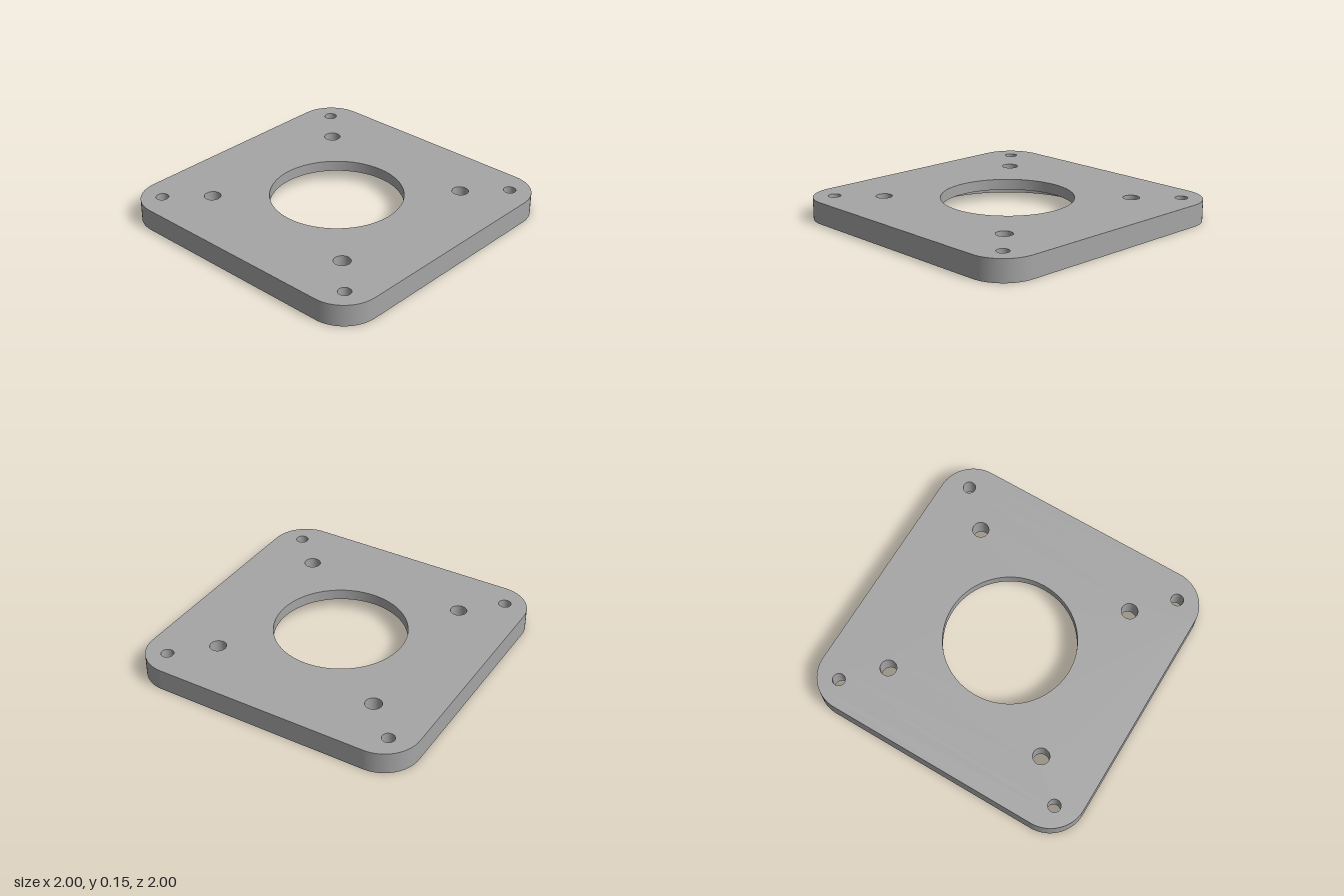
import * as THREE from 'three';

const HALF = 1, CORNER = 0.25, HEIGHT = 0.15, STEP = 0.075;
const BORE = 0.452, RECESS = 0.65;
const SEGMENTS = 64;
const HOLES = [
  { name: 'mountingHole', offset: 0.588, radius: 0.056 },
  { name: 'cornerHole', offset: 0.825, radius: 0.043 },
];
const SIGNS = [[1, 1], [-1, 1], [-1, -1], [1, -1]];

// Rounded square outline: each point with its outward direction
function outline() {
  const loop = [], n = 16, c = HALF - CORNER;
  SIGNS.forEach(([sx, sz], q) => {
    for (let i = 0; i <= n; i++) {
      const a = (q + i / n) * Math.PI / 2, nx = Math.cos(a), nz = Math.sin(a);
      loop.push({ x: sx * c + CORNER * nx, z: sz * c + CORNER * nz, nx, nz });
    }
  });
  return loop;
}

// Flat plate face with a central opening and all the screw holes
function faceGeometry(loop, opening) {
  const shape = new THREE.Shape(loop.map(p => new THREE.Vector2(p.x, p.z)));
  const punch = (x, y, r) => shape.holes.push(new THREE.Path().absarc(x, y, r, 0, Math.PI * 2, true));
  punch(0, 0, opening);
  for (const h of HOLES) {
    for (const [sx, sy] of SIGNS) punch(sx * h.offset, sy * h.offset, h.radius);
  }
  return new THREE.ShapeGeometry(shape, SEGMENTS / 2);
}

// Smooth outer wall between the two faces
function rimGeometry(loop) {
  const position = [], normal = [], index = [];
  loop.forEach((p, i) => {
    position.push(p.x, 0, p.z, p.x, HEIGHT, p.z);
    normal.push(p.nx, 0, p.nz, p.nx, 0, p.nz);
    const a = 2 * i, b = 2 * ((i + 1) % loop.length);
    index.push(a, a + 1, b, b, a + 1, b + 1);
  });
  const g = new THREE.BufferGeometry();
  g.setAttribute('position', new THREE.Float32BufferAttribute(position, 3));
  g.setAttribute('normal', new THREE.Float32BufferAttribute(normal, 3));
  g.setIndex(index);
  return g;
}

export function createModel() {
  const group = new THREE.Group();
  group.name = 'mountingPlate';
  const material = new THREE.MeshStandardMaterial({ color: 0xa5a5a5 });
  const add = (name, geometry, x = 0, y = 0, z = 0) => {
    const mesh = new THREE.Mesh(geometry, material);
    mesh.name = name;
    mesh.position.set(x, y, z);
    group.add(mesh);
  };
  // Surface swept around y; a downward profile faces the axis
  const ring = (r0, y0, r1, y1) => new THREE.LatheGeometry(
    [new THREE.Vector2(r0, y0), new THREE.Vector2(r1, y1)], SEGMENTS);

  // Plate
  const loop = outline();
  add('topFace', faceGeometry(loop, BORE).rotateX(-Math.PI / 2), 0, HEIGHT);
  add('bottomFace', faceGeometry(loop, RECESS).rotateX(Math.PI / 2));
  add('outerRim', rimGeometry(loop));

  // Central bore, stepped out to a wider recess underneath
  add('boreWall', ring(BORE, HEIGHT, BORE, STEP));
  add('recessShelf', ring(BORE, STEP, RECESS, STEP));
  add('recessWall', ring(RECESS, STEP, RECESS, 0));

  // Screw holes
  for (const h of HOLES) {
    const wall = ring(h.radius, HEIGHT, h.radius, 0);
    for (const [sx, sz] of SIGNS) add(h.name, wall, sx * h.offset, 0, sz * h.offset);
  }
  return group;
}
